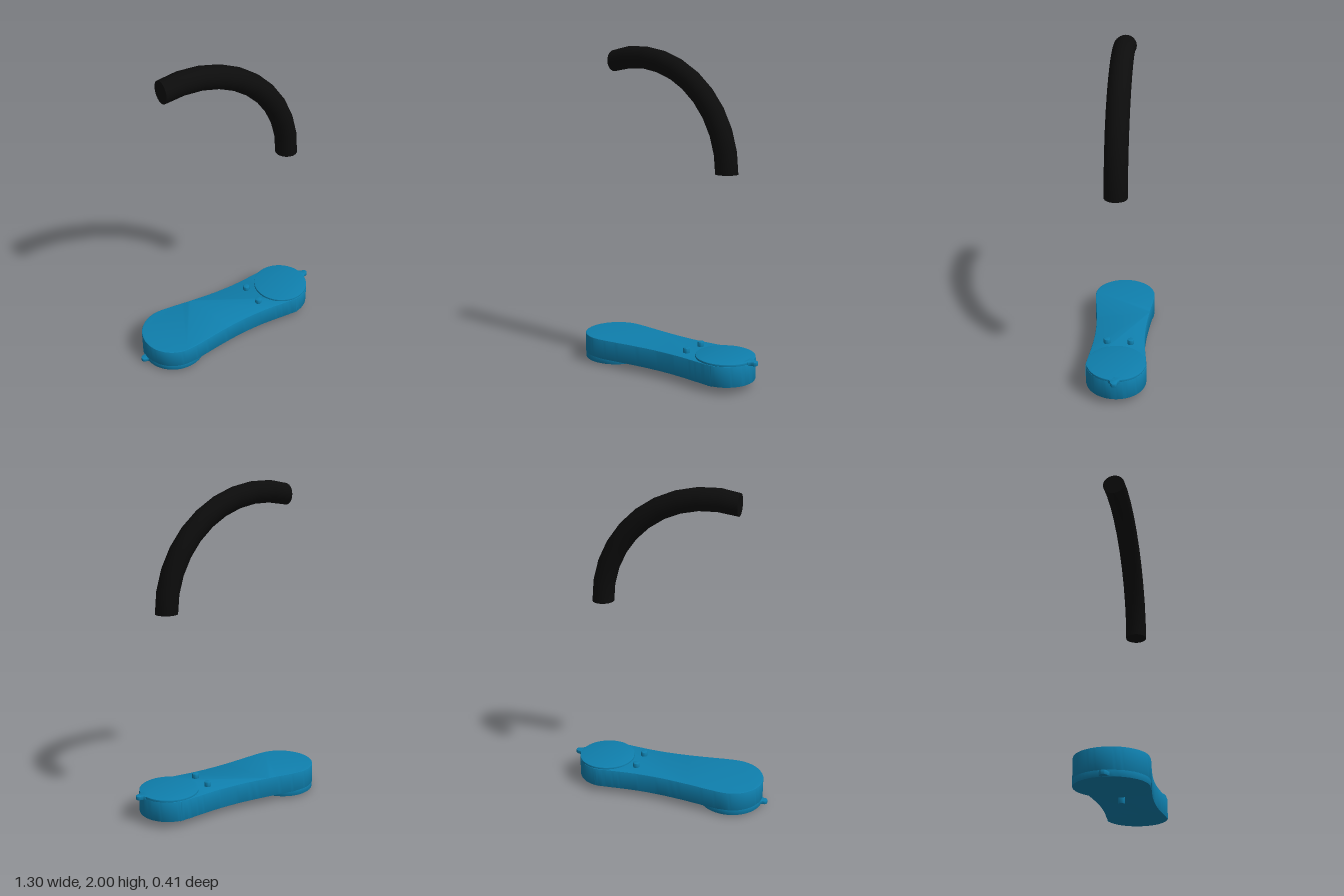
import * as THREE from 'three';
import { toCreasedNormals } from 'three/addons/utils/BufferGeometryUtils.js';

const BLUE = new THREE.MeshStandardMaterial({ color: 0x0f7fad });
const BLACK = new THREE.MeshStandardMaterial({ color: 0x0c0c0c, side: THREE.DoubleSide });

// Horizontal slab from a plan outline (shape y becomes z), between two heights
function slab(shape, y0, y1, bevel) {
  const g = new THREE.ExtrudeGeometry(shape, {
    depth: y1 - y0 - 2 * bevel, bevelThickness: bevel, bevelSize: bevel,
    bevelOffset: -bevel, bevelSegments: 2, curveSegments: 24,
  });
  g.rotateX(Math.PI / 2).translate(0, y1 - bevel, 0);
  return toCreasedNormals(g, 0.6);
}

function circle(x, z, r) {
  const s = new THREE.Shape();
  s.absarc(x, z, r, 0, Math.PI * 2, false);
  return s;
}

// Small rounded lug pointing outward along x; dir is +1 or -1
function lug(x, dir) {
  const s = new THREE.Shape();
  const p = (a) => x + dir * a;
  s.moveTo(p(-0.03), -0.036);
  s.lineTo(p(0), -0.034);
  s.quadraticCurveTo(p(0.008), -0.022, p(0.02), -0.021);
  s.bezierCurveTo(p(0.05), -0.02, p(0.05), 0.02, p(0.02), 0.021);
  s.quadraticCurveTo(p(0.008), 0.022, p(0), 0.034);
  s.lineTo(p(-0.03), 0.036);
  return s;
}

export function createModel() {
  const model = new THREE.Group();
  const add = (name, geometry, material = BLUE) => {
    const m = new THREE.Mesh(geometry, material);
    m.name = name;
    model.add(m);
    return m;
  };

  // Waisted arm body with a larger and a smaller round end
  const outline = new THREE.Shape();
  outline.moveTo(0.45, 0.184);
  outline.bezierCurveTo(0.37, 0.184, 0.25, 0.16, 0.1, 0.16);
  outline.bezierCurveTo(-0.12, 0.16, -0.32, 0.204, -0.4, 0.204);
  outline.absarc(-0.413, 0, 0.204, Math.PI / 2, Math.PI * 1.5, false);
  outline.bezierCurveTo(-0.32, -0.204, -0.12, -0.16, 0.1, -0.16);
  outline.bezierCurveTo(0.25, -0.16, 0.37, -0.184, 0.45, -0.184);
  outline.absarc(0.427, 0, 0.184, -Math.PI / 2, Math.PI / 2, false);
  add('body', slab(outline, 0.043, 0.17, 0.005));

  // Joint discs: one under the large end, one over the small end
  add('lowerDisc', slab(circle(-0.413, 0, 0.204), 0.012, 0.06, 0.004));
  add('upperDisc', slab(circle(0.43, 0, 0.18), 0.16, 0.182, 0.003));

  // End lugs
  add('lowerLug', slab(lug(-0.61, -1), 0.015, 0.038, 0.002));
  add('upperLug', slab(lug(0.61, 1), 0.159, 0.182, 0.002));

  // Stop pegs
  for (const z of [-0.075, 0.075]) add('upperPeg', slab(circle(0.2, z, 0.021), 0.15, 0.2, 0.004));
  add('lowerPeg', slab(circle(-0.12, 0, 0.02), 0, 0.06, 0.003));

  // Curved hose floating above, its upper end cut upright
  const R = 0.673, r = 0.067, cx = -0.248, cy = 1.263, endX = -0.413;
  const arc = Math.acos((endX - cx) / R);
  const segments = 10;
  const hose = new THREE.TorusGeometry(R, r, 24, segments, arc);
  hose.translate(cx, cy, 0);
  const pos = hose.attributes.position;
  for (let i = 0; i < pos.count; i++) {
    if (i % (segments + 1) === segments) pos.setX(i, endX);
  }
  add('hose', hose, BLACK);

  // Flat hose ends
  const bottomCap = add('hoseBottomCap', new THREE.CircleGeometry(r, 24), BLACK);
  bottomCap.rotation.x = Math.PI / 2;
  bottomCap.position.set(cx + R, cy, 0);
  const topCap = add('hoseTopCap', new THREE.CircleGeometry(r, 24), BLACK);
  topCap.rotation.y = -Math.PI / 2;
  topCap.position.set(endX, cy + R * Math.sin(arc), 0);
  topCap.scale.y = Math.sin(arc);

  return model;
}
